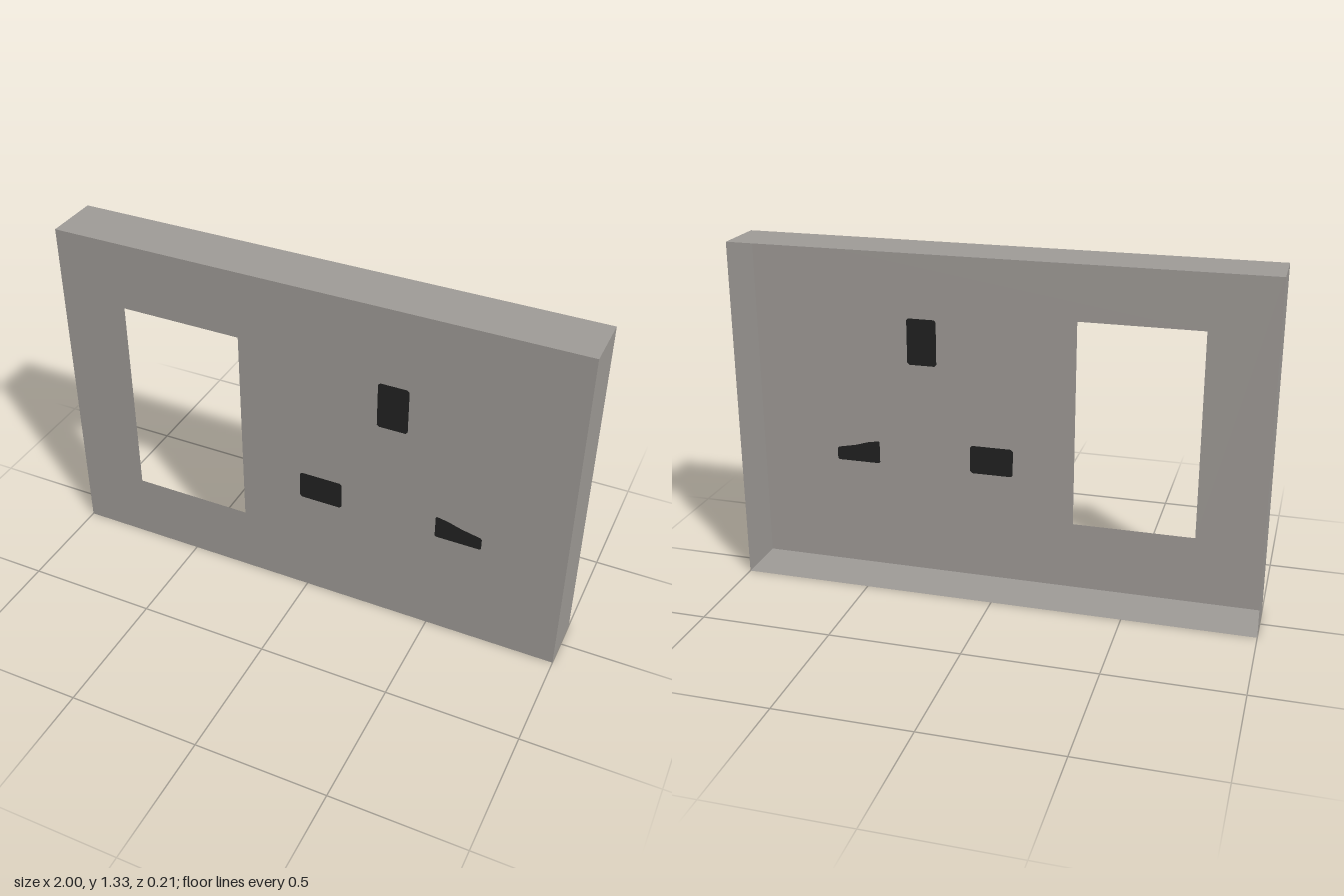
import * as THREE from 'three';

const W = 2, H = 1.333, D = 0.21;

// Closed outline with slightly clipped corners
function outline(points, clip = 0) {
  const path = new THREE.Shape();
  const pts = points.map(([x, y]) => new THREE.Vector2(x, y));
  if (!clip) return path.setFromPoints(pts);
  const out = [];
  pts.forEach((p, i) => {
    const prev = pts[(i + pts.length - 1) % pts.length];
    const next = pts[(i + 1) % pts.length];
    for (const q of [prev, next]) {
      out.push(p.clone().add(q.clone().sub(p).setLength(clip)));
    }
  });
  return path.setFromPoints(out);
}

const rect = (x0, y0, x1, y1) => [[x0, y0], [x1, y0], [x1, y1], [x0, y1]];

export function createModel() {
  const group = new THREE.Group();
  group.name = 'socketPlate';

  const plate = new THREE.MeshStandardMaterial({ name: 'warmGrey', color: 0x9e9a96, side: THREE.DoubleSide });
  const dark = new THREE.MeshStandardMaterial({ name: 'slotBlack', color: 0x212121, side: THREE.DoubleSide });

  const add = (name, geometry, material, x, y, z) => {
    const mesh = new THREE.Mesh(geometry, material);
    mesh.name = name;
    mesh.position.set(x, y, z);
    group.add(mesh);
    return mesh;
  };

  // Pin slots, flush with the face
  const slots = {
    earthSlot: outline(rect(0.272, 0.852, 0.388, 1.034), 0.008),
    leftSlot: outline(rect(-0.028, 0.434, 0.142, 0.547), 0.008),
    rightSlot: outline([[0.511, 0.434], [0.688, 0.434], [0.688, 0.486],
      [0.61, 0.502], [0.56, 0.518], [0.511, 0.527]], 0.005),
  };

  // Front face with the switch opening and slot cut-outs
  const face = outline(rect(-W / 2, 0, W / 2, H));
  face.holes.push(outline(rect(-0.735, 0.267, -0.267, 1.07)));
  for (const [name, shape] of Object.entries(slots)) {
    face.holes.push(shape);
    add(name, new THREE.ShapeGeometry(shape), dark, 0, 0, D / 2);
  }
  add('frontFace', new THREE.ShapeGeometry(face), plate, 0, 0, D / 2);

  // Thin rim walls, open at the back
  for (const s of [1, -1]) {
    const side = add(s > 0 ? 'leftWall' : 'rightWall', new THREE.PlaneGeometry(D, H), plate, s * W / 2, H / 2, 0);
    side.rotation.y = s * Math.PI / 2;
    const edge = add(s > 0 ? 'topWall' : 'bottomWall', new THREE.PlaneGeometry(W, D), plate, 0, s > 0 ? H : 0, 0);
    edge.rotation.x = -s * Math.PI / 2;
  }
  return group;
}
